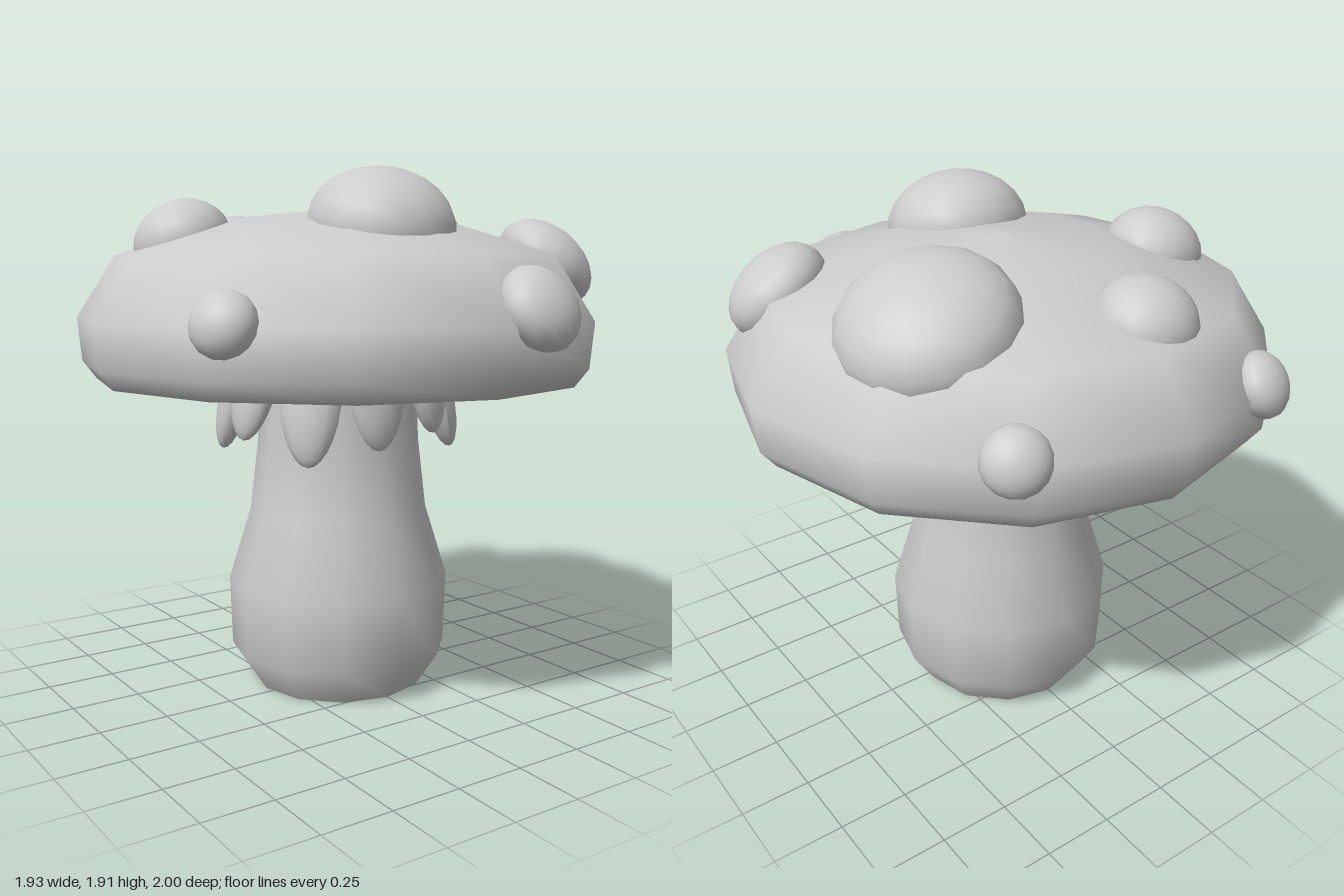
import * as THREE from 'three';

const CENTRE_Z = -0.035;
const UP = new THREE.Vector3(0, 1, 0);
const RAD = Math.PI / 180;

// Twelve-sided smooth body from [radius, height] pairs, listed bottom to top
function lathe(name, profile, material) {
  const points = profile.map(([r, y]) => new THREE.Vector2(r, y));
  const mesh = new THREE.Mesh(new THREE.LatheGeometry(points, 12), material);
  mesh.name = name;
  mesh.position.z = CENTRE_Z;
  return mesh;
}

// Rounded leaf, narrower towards its lower tip
function petalGeometry() {
  const geometry = new THREE.SphereGeometry(1, 14, 12);
  const p = geometry.attributes.position;
  for (let i = 0; i < p.count; i++) {
    const y = p.getY(i);
    const taper = 0.9 + 0.14 * y;
    p.setXYZ(i, p.getX(i) * 0.12 * taper, y * 0.21, p.getZ(i) * 0.058);
  }
  geometry.computeVertexNormals();
  return geometry;
}

export function createModel() {
  const model = new THREE.Group();
  model.name = 'mushroom';
  const grey = new THREE.MeshStandardMaterial({ color: 0xcccccc });
  const open = new THREE.MeshStandardMaterial({ color: 0xcccccc, side: THREE.DoubleSide });

  // Bulging stem, open at the bottom
  model.add(lathe('stem', [
    [0.325, 0], [0.41, 0.13], [0.418, 0.39], [0.335, 0.66], [0.305, 0.92], [0.295, 1.2],
  ], open));

  // Broad cap with a flat underside
  model.add(lathe('cap', [
    [0, 1.16], [0.9, 1.16], [0.95, 1.225], [0.965, 1.385], [0.82, 1.61], [0.39, 1.74], [0, 1.785],
  ], grey));

  // Flattened spots: x, y, z, radius, half thickness, tilt away from vertical
  const spots = [
    [-0.06, 1.705, 0.32, 0.26, 0.2, 15],
    [0.49, 1.645, -0.33, 0.3, 0.2, 24],
    [0.65, 1.585, 0.38, 0.195, 0.13, 40],
    [-0.55, 1.655, -0.205, 0.178, 0.15, 20],
    [-0.11, 1.625, -0.65, 0.174, 0.145, 20],
    [0.145, 1.44, 0.885, 0.15, 0.1, 57],
    [-0.77, 1.4, 0.505, 0.11, 0.082, 65],
    [-0.44, 1.4, -0.865, 0.115, 0.082, 62],
    [0.51, 1.4, -0.81, 0.11, 0.08, 65],
  ];
  const spotGeometry = new THREE.SphereGeometry(1, 16, 12);
  const spotGroup = new THREE.Group();
  spotGroup.name = 'spots';
  for (const [x, y, z, r, h, tilt] of spots) {
    const spot = new THREE.Mesh(spotGeometry, grey);
    spot.name = 'spot';
    spot.position.set(x, y, z);
    spot.scale.set(r, h, r);
    const normal = new THREE.Vector3(x, 0, z - CENTRE_Z).normalize().multiplyScalar(Math.sin(tilt * RAD));
    normal.y = Math.cos(tilt * RAD);
    spot.quaternion.setFromUnitVectors(UP, normal);
    spotGroup.add(spot);
  }
  model.add(spotGroup);

  // Ring of drooping petals under the cap, each with its own tip height
  const tips = [0.93, 0.97, 0.88, 0.96, 0.88, 0.94, 0.92, 0.9, 0.96, 0.88];
  const petal = petalGeometry();
  const skirt = new THREE.Group();
  skirt.name = 'skirt';
  tips.forEach((tip, i) => {
    const angle = (-8 + 36 * i) * RAD;
    const side = Math.abs(Math.sin(angle));
    const leaf = new THREE.Mesh(petal, grey);
    leaf.name = 'petal';
    leaf.position.set(0.4 * Math.sin(angle), tip + 0.205, CENTRE_Z + 0.335 * Math.cos(angle));
    // Petals at the sides flare out more than those at front and back
    leaf.rotation.set(-(3 + 12 * side) * RAD, angle, 0, 'YXZ');
    skirt.add(leaf);
  });
  model.add(skirt);

  return model;
}
